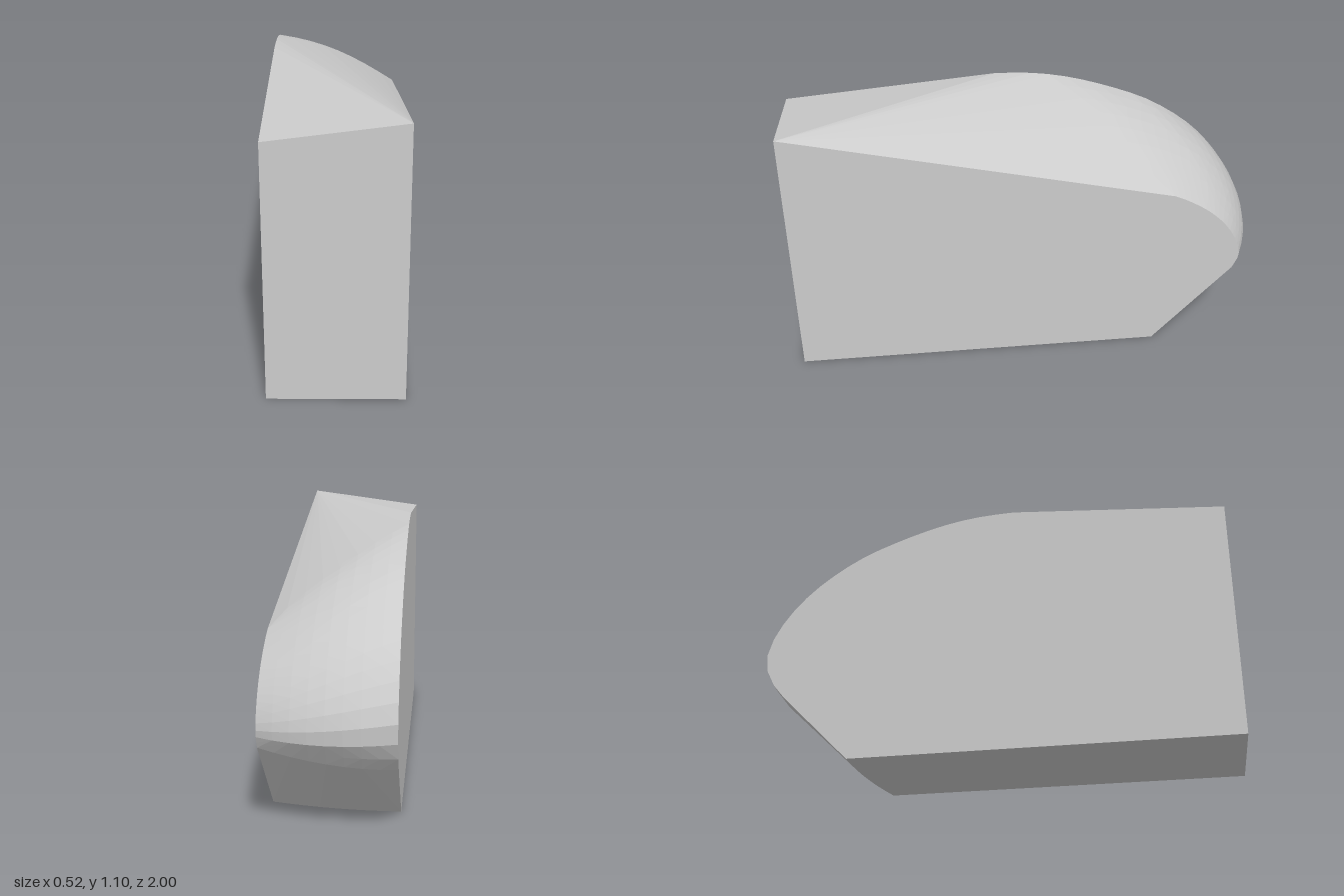
import * as THREE from 'three';
import { ConvexGeometry } from 'three/addons/geometries/ConvexGeometry.js';

const HALF = 0.26;

// Smooth cap curve from (z, y) pairs
function capCurve(points) {
  return new THREE.CatmullRomCurve3(points.map(([z, y]) => new THREE.Vector3(0, y, z)), false, 'centripetal');
}

export function createModel() {
  const group = new THREE.Group();

  // Rounded rear outlines of the two side faces, running from the top down
  const rightCap = capCurve([[0.1, 1.095], [-0.04, 1.09], [-0.2, 1.066], [-0.4, 1.008], [-0.6, 0.925],
    [-0.8, 0.785], [-0.92, 0.645], [-0.975, 0.53], [-0.983, 0.45], [-0.95, 0.365], [-0.89, 0.29]]);
  const leftCap = capCurve([[-0.6, 0.735], [-0.65, 0.713], [-0.75, 0.653], [-0.83, 0.58],
    [-0.885, 0.495], [-0.905, 0.42], [-0.88, 0.355]]);

  // Square front corners
  const points = [
    new THREE.Vector3(-HALF, 0, 1), new THREE.Vector3(HALF, 0, 1),
    new THREE.Vector3(-HALF, 1.02, 1), new THREE.Vector3(HALF, 1.088, 1),
  ];

  // Sections blended from side to side, bulging outwards in the middle
  const sections = 8, steps = 20;
  for (let i = 0; i <= sections; i++) {
    const t = i / sections;
    const x = -HALF + 2 * HALF * t;
    const bulge = 0.047 * 4 * t * (1 - t);
    for (let j = 0; j <= steps; j++) {
      const u = j / steps;
      const p = rightCap.getPointAt(u).lerp(leftCap.getPointAt(u), t);
      const out = new THREE.Vector3(0, p.y - 0.45, p.z + 0.4).normalize();
      p.addScaledVector(out, bulge * (u > 0.9 ? 0.75 : 1));
      points.push(new THREE.Vector3(x, p.y, p.z));
    }
    // Rear edge of the base
    points.push(new THREE.Vector3(x, 0, THREE.MathUtils.lerp(-0.597, -0.545, t) - bulge * 0.4));
  }

  const body = new THREE.Mesh(
    new ConvexGeometry(points),
    new THREE.MeshStandardMaterial({ color: 0xcccccc, flatShading: true })
  );
  body.name = 'roundedBlock';
  group.add(body);
  return group;
}
